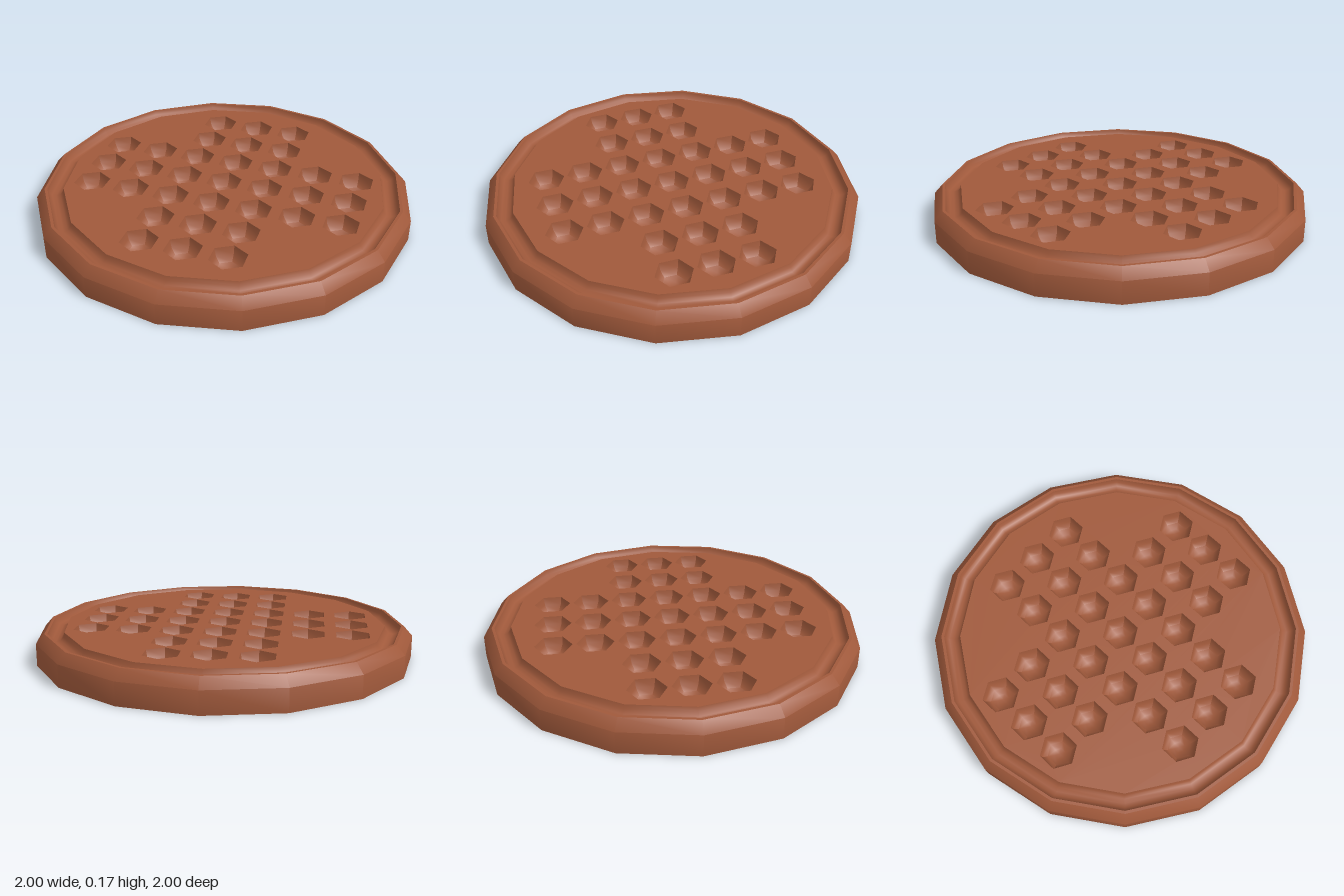
import * as THREE from 'three';
import { toCreasedNormals } from 'three/addons/utils/BufferGeometryUtils.js';

const TOP = 0.165;           // height of the playing surface
const SIDES = 16;
const HOLE_R = 0.097;
const PITCH_X = 0.226, PITCH_Z = 0.212;
const CREASE = 0.8;

const v2 = (x, y) => new THREE.Vector2(x, y);

// Regular polygon outline with a corner on the vertical axis
function polygon(sides, r, cx = 0, cy = 0) {
  return Array.from({ length: sides }, (_, i) => {
    const a = Math.PI / 2 + (i / sides) * Math.PI * 2;
    return v2(cx + r * Math.cos(a), cy + r * Math.sin(a));
  });
}

const lathe = (points, sides) => toCreasedNormals(new THREE.LatheGeometry(points, sides), CREASE);

export function createModel() {
  const board = new THREE.Group();
  board.name = 'pegBoard';
  const wood = new THREE.MeshStandardMaterial({ color: 0xa0593b });
  wood.name = 'reddish wood';

  const add = (geometry, name, parent = board) => {
    const mesh = new THREE.Mesh(geometry, wood);
    mesh.name = name;
    parent.add(mesh);
    return mesh;
  };

  // Base, side wall, bevelled rim and rounded marble groove
  const inner = 0.855, outer = 0.94, steps = 6;
  const profile = [v2(0, 0), v2(1, 0), v2(1, 0.115), v2(0.955, TOP)];
  for (let i = 0; i <= steps; i++) {
    const a = (i / steps) * Math.PI;
    profile.push(v2((inner + outer) / 2 + Math.cos(a) * (outer - inner) / 2, TOP - Math.sin(a) * 0.045));
  }
  add(lathe(profile, SIDES), 'rimAndBase');

  // Hole centres in a cross: three-wide arms
  const centres = [];
  for (let i = -3; i <= 3; i++) {
    for (let j = -3; j <= 3; j++) {
      if (Math.abs(i) <= 1 || Math.abs(j) <= 1) centres.push([i * PITCH_X, j * PITCH_Z]);
    }
  }

  // Flat playing surface pierced by the holes
  const face = new THREE.Shape(polygon(SIDES, inner));
  for (const [x, z] of centres) face.holes.push(new THREE.Path(polygon(6, HOLE_R, x, -z)));
  const surface = new THREE.ShapeGeometry(face);
  surface.rotateX(-Math.PI / 2);
  add(surface, 'playingSurface').position.y = TOP;

  // Hexagonal hollows with steep sides and a rounded floor
  const hollow = lathe(
    [v2(HOLE_R, 0), v2(0.088, -0.042), v2(0.063, -0.072), v2(0.03, -0.09), v2(0, -0.095)], 6);
  const hollows = new THREE.Group();
  hollows.name = 'hollows';
  board.add(hollows);
  for (const [x, z] of centres) add(hollow, 'hollow', hollows).position.set(x, TOP, z);

  return board;
}
